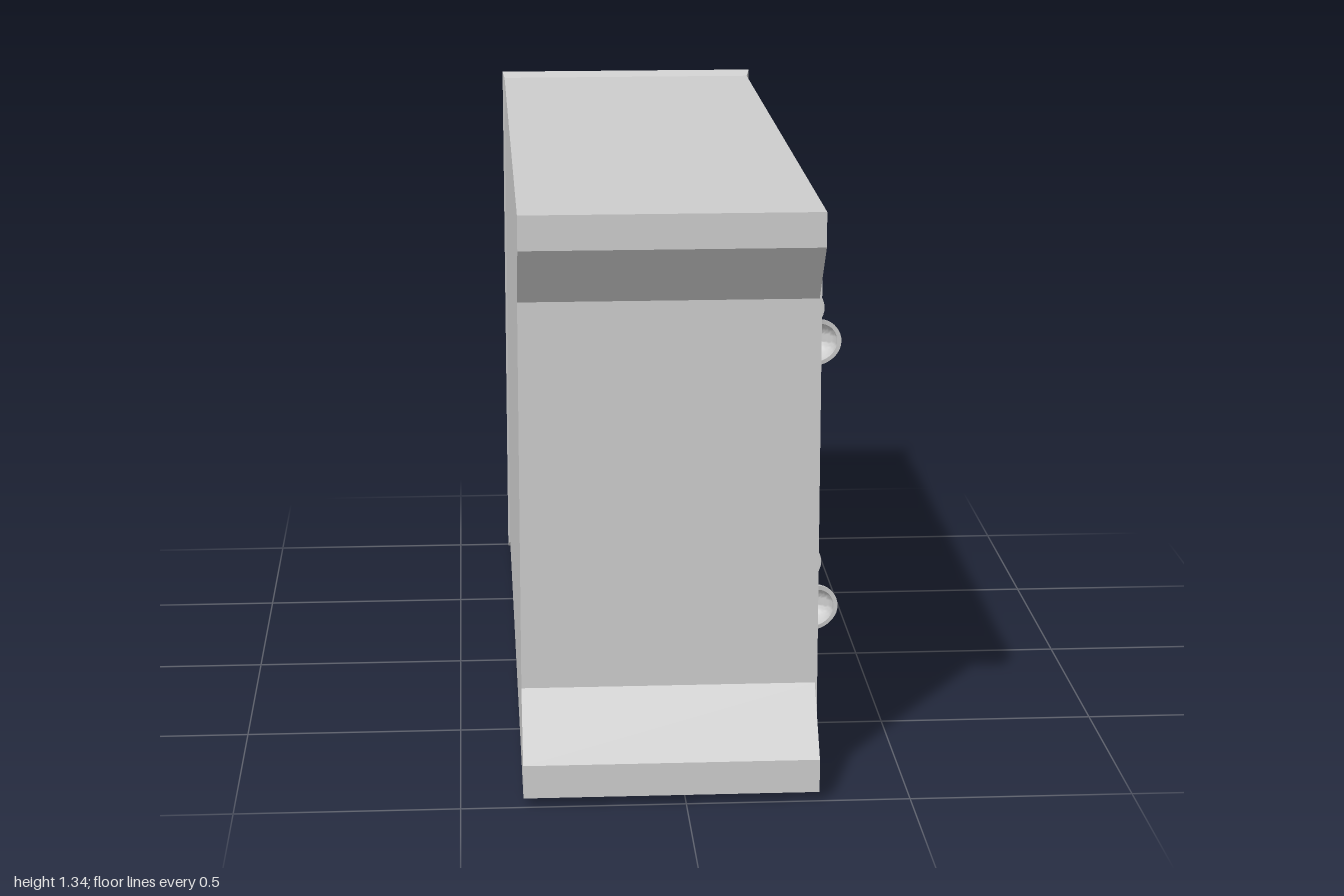
import * as THREE from 'three';
import { toCreasedNormals } from 'three/addons/utils/BufferGeometryUtils.js';

const material = new THREE.MeshStandardMaterial({ color: 0xcccccc });
const FACE = 0.297;   // x of the cabinet's drawer side
const BACK = -0.361;
const PROUD = 0.311;  // x of the drawer fronts

function add(group, name, geometry) {
  const mesh = new THREE.Mesh(geometry, material);
  mesh.name = name;
  group.add(mesh);
  return mesh;
}

// Cabinet carcass with two splayed feet, outlined in (z, y)
function carcassGeometry() {
  const shape = new THREE.Shape([
    [-0.965, 0.022], [1, 0.022], [1, 0.098], [0.877, 0.236],
    [0.877, 1.118], [1, 1.256], [1, 1.333], [-0.965, 1.333],
  ].map(([z, y]) => new THREE.Vector2(z, y)));
  const geometry = new THREE.ExtrudeGeometry(shape, { depth: FACE - BACK, bevelEnabled: false });
  return geometry.rotateY(-Math.PI / 2).translate(FACE, 0, 0);
}

// Moulded slab: a box whose rings follow z, back x, front x, low y, high y
function slabGeometry() {
  const rings = [
    [-1, -0.360, 0.297, 0.035, 1.312],
    [-0.994, -0.365, 0.304, 0.006, 1.341],
    [-0.985, -0.366, 0.305, 0.001, 1.346],
    [-0.973, -0.364, 0.302, 0.012, 1.340],
    [-0.957, BACK, FACE, 0.022, 1.333],
  ];
  const n = rings.length - 1;
  const geometry = new THREE.BoxGeometry(1, 1, 1, 1, 1, n).toNonIndexed();
  const p = geometry.attributes.position;
  for (let i = 0; i < p.count; i++) {
    const [z, x0, x1, y0, y1] = rings[Math.round((p.getZ(i) + 0.5) * n)];
    p.setXYZ(i, p.getX(i) < 0 ? x0 : x1, p.getY(i) < 0 ? y0 : y1, z);
  }
  geometry.computeVertexNormals();
  return geometry;
}

// Hollow cup pull: a half-turned shell, its rim drawn forward at the base
function pullGeometry() {
  const outer = 0.052, inner = 0.043, steps = 10;
  const profile = [];
  for (let i = 0; i <= steps; i++) {
    const a = (i / steps) * Math.PI / 2;
    profile.push(new THREE.Vector2(outer * Math.sin(a), -outer * Math.cos(a)));
  }
  for (let i = steps; i >= 0; i--) {
    const a = (i / steps) * Math.PI / 2;
    profile.push(new THREE.Vector2(inner * Math.sin(a), -inner * Math.cos(a)));
  }
  const geometry = new THREE.LatheGeometry(profile, 20, 0, Math.PI);
  geometry.rotateX(Math.PI / 2).scale(1.06, 1, 1);
  const p = geometry.attributes.position;
  for (let i = 0; i < p.count; i++) {
    const z = p.getZ(i);
    const nearBase = Math.max(0, 1 - p.getX(i) / 0.055);
    p.setZ(i, z + 0.016 * nearBase ** 2 * (1 + z / outer));
  }
  return toCreasedNormals(geometry, 0.7);
}

export function createModel() {
  const model = new THREE.Group();
  model.name = 'chestOfDrawers';
  add(model, 'carcass', carcassGeometry());
  add(model, 'topSlab', slabGeometry());

  // Drawer fronts: three full-width rows, then two rows of paired drawers
  const wide = [[0.125, 1.23]];
  const pair = [[0.09, 0.64], [0.705, 1.26]];
  const rows = [
    { z: [0.61, 0.802], spans: wide, pullZ: 0.718 },
    { z: [0.232, 0.583], spans: wide, pullZ: 0.38 },
    { z: [-0.235, 0.193], spans: wide, pullZ: -0.091 },
    { z: [-0.571, -0.275], spans: pair, pullZ: -0.41 },
    { z: [-0.902, -0.604], spans: pair, pullZ: -0.738 },
  ];
  const pull = pullGeometry();
  for (const { z, spans, pullZ } of rows) {
    for (const [y0, y1] of spans) {
      const depth = PROUD - FACE + 0.01;
      const front = add(model, 'drawerFront', new THREE.BoxGeometry(depth, y1 - y0, z[1] - z[0]));
      front.position.set(PROUD - depth / 2, (y0 + y1) / 2, (z[0] + z[1]) / 2);
    }
    for (const y of [0.364, 0.985]) {
      add(model, 'drawerPull', pull).position.set(PROUD - 0.001, y, pullZ);
    }
  }
  return model;
}
